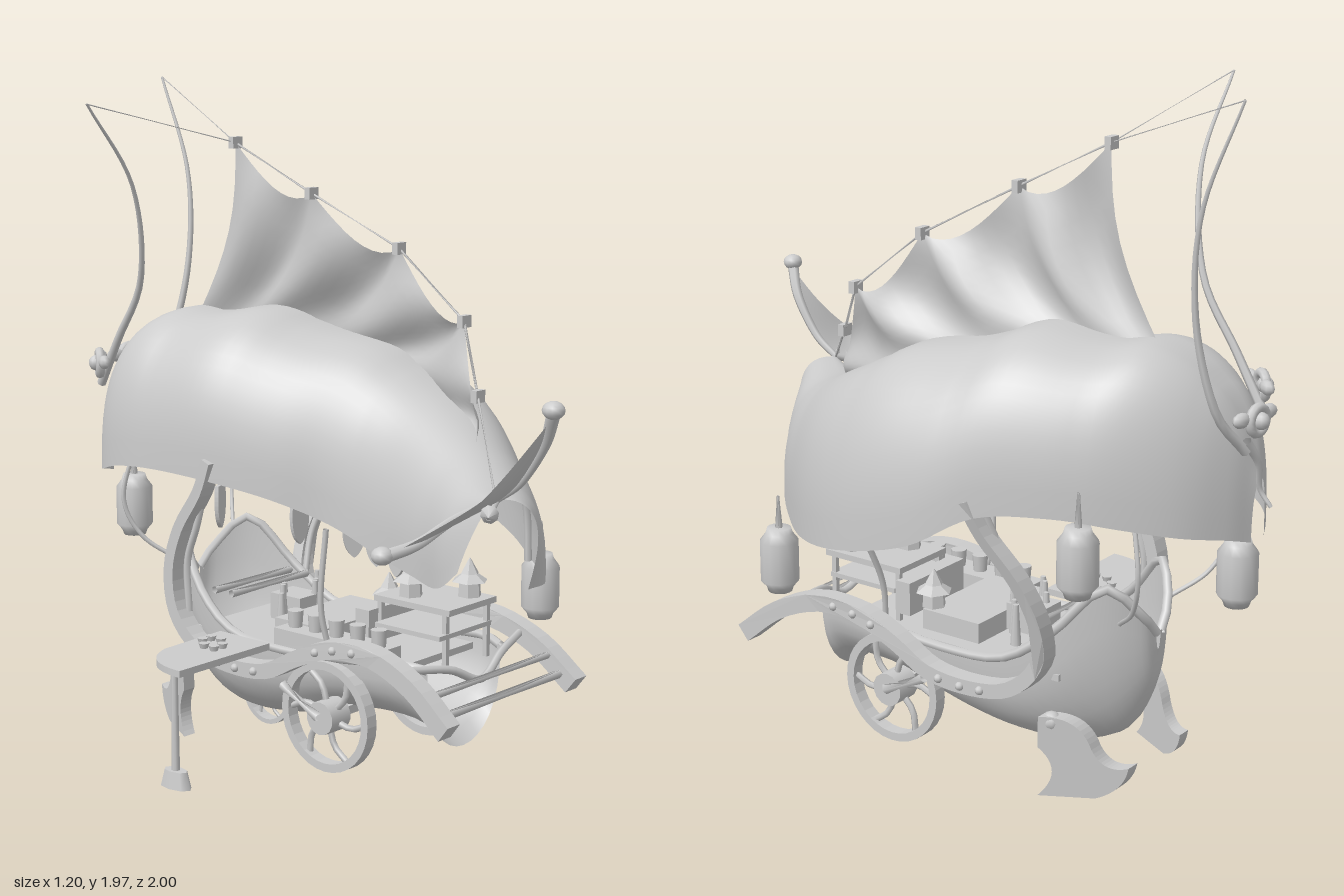
import * as THREE from 'three';

const V = (a) => new THREE.Vector3(...a);
const curve = (pts) => new THREE.CatmullRomCurve3(pts.map(V), false, 'catmullrom', 0.5);
const mat = new THREE.MeshStandardMaterial({ color: 0xcccccc, side: THREE.DoubleSide });
const flat = new THREE.MeshStandardMaterial({ color: 0xcccccc, side: THREE.DoubleSide, flatShading: true });
const CX = 0.09; // centre line of the cart

export function createModel() {
  const root = new THREE.Group();
  const add = (name, geo, pos = [0, 0, 0], m = mat, parent = root) => {
    const mesh = new THREE.Mesh(geo, m);
    mesh.name = name;
    mesh.position.set(...pos);
    parent.add(mesh);
    return mesh;
  };
  const box = (name, size, pos) => add(name, new THREE.BoxGeometry(...size), pos);
  const cyl = (name, r1, r2, h, pos, n = 12, parent = root) => add(name, new THREE.CylinderGeometry(r1, r2, h, n), pos, n < 8 ? flat : mat, parent);

  // tube that tapers from r0 to r1
  const tube = (name, pts, r0, r1 = r0, seg = 24, radial = 6) => {
    const c = curve(pts), g = new THREE.TubeGeometry(c, seg, 1, radial), p = g.attributes.position;
    for (let i = 0; i < p.count; i++) {
      const t = Math.floor(i / (radial + 1)) / seg, o = c.getPointAt(t);
      const v = new THREE.Vector3().fromBufferAttribute(p, i).sub(o).multiplyScalar(r0 + (r1 - r0) * t).add(o);
      p.setXYZ(i, v.x, v.y, v.z);
    }
    return add(name, g);
  };
  const rope = (name, a, b, r = 0.004) => tube(name, [a, b], r, r, 1, 5);

  // surface through a grid of points f(i, j)
  const sheet = (name, ni, nj, f) => {
    const pos = [], idx = [];
    for (let i = 0; i <= ni; i++) for (let j = 0; j <= nj; j++) pos.push(...f(i / ni, j / nj).toArray());
    for (let i = 0; i < ni; i++) for (let j = 0; j < nj; j++) {
      const a = i * (nj + 1) + j, b = a + nj + 1;
      idx.push(a, b, a + 1, b, b + 1, a + 1);
    }
    const g = new THREE.BufferGeometry();
    g.setAttribute('position', new THREE.Float32BufferAttribute(pos, 3));
    g.setIndex(idx);
    g.computeVertexNormals();
    return add(name, g);
  };
  // outline in (z, y) given thickness along x
  const slab = (shape, t) => new THREE.ExtrudeGeometry(shape, { depth: t, bevelEnabled: false }).translate(0, 0, -t / 2).rotateY(-Math.PI / 2);
  const outline = (pts) => new THREE.Shape(pts.map((p) => new THREE.Vector2(...p)));

  // canopy: arched sections from tail (+z) to head (-z)
  const inner = curve([[-.27, .72, .65], [-.22, .65, .54], [-.13, .64, .38], [-.07, .66, .2], [-.07, .72, .02], [-.14, .78, -.15],
    [-.21, .82, -.35], [-.225, .83, -.55], [-.22, .82, -.7], [-.18, .79, -.81], [-.11, .77, -.88], [-.03, .75, -.92]]);
  const spine = curve([[-.24, .935, .765], [-.1, .93, .62], [.07, 1.0, .45], [.21, 1.1, .22], [.24, 1.2, .03], [.22, 1.24, -.17],
    [.17, 1.3, -.34], [.13, 1.28, -.52], [.1, 1.28, -.66], [.05, 1.21, -.79], [.01, 1.09, -.87], [0, .92, -.925]]);
  const outer = curve([[-.14, .675, .79], [.12, .625, .66], [.34, .61, .45], [.5, .635, .25], [.59, .68, .04], [.59, .74, -.18],
    [.535, .84, -.36], [.455, .855, -.55], [.36, .83, -.7], [.25, .8, -.82], [.13, .775, -.89], [.04, .75, -.92]]);
  const section = (u, t, scale = 1) => { // t: 0 inner edge, 0.5 spine, 1 outer edge
    const A = inner.getPoint(u), T = spine.getPoint(u), B = outer.getPoint(u);
    const a = (t - 0.5) * Math.PI, E = t < 0.5 ? A : B, e = 0.8;
    const h = Math.pow(Math.abs(Math.sin(a)), e), v = Math.pow(Math.max(0, Math.cos(a)), e);
    const p = new THREE.Vector3(T.x + (E.x - T.x) * h, E.y + (T.y - E.y) * v, T.z + (E.z - T.z) * h);
    p.z += 0.08 * Math.max(0, 0.09 - u) / 0.09 * h * v; // tail edge bows forward
    const mid = A.add(B).multiplyScalar(0.5);
    const puff = scale * (0.988 + 0.022 * Math.abs(Math.sin(u * 6 * Math.PI)) * v);
    return p.sub(mid).multiplyScalar(puff).add(mid);
  };
  sheet('canopy', 66, 28, (u, t) => section(u, t));
  for (const k of [2, 4, 6, 8]) {
    const pts = [];
    for (let j = 0; j <= 12; j++) pts.push(section(k / 11, j / 12, 0.94).toArray());
    tube('canopyHoop', pts, 0.011);
  }
  tube('ridgeBeam', [2, 4, 6, 8, 9].map((k) => section(k / 11, 0.5, 0.92).toArray()), 0.013);

  // dorsal sail with scalloped upper edge
  const tips = [[.06, 1.13, .46], [.2, 1.31, .3], [.21, 1.5, .05], [.13, 1.65, -.22], [.09, 1.79, -.49]];
  sheet('dorsalSail', 40, 8, (s, t) => {
    const k = Math.min(3, Math.floor(s * 4)), f = s * 4 - k;
    const top = V(tips[k]).lerp(V(tips[k + 1]), f);
    top.y -= 0.06 * Math.sin(Math.PI * Math.pow(f, .8)) + (k ? 0 : .06 * (1 - f));
    const base = spine.getPoint((2 + 6 * s) / 11);
    base.y -= 0.02;
    const p = base.lerp(top, t);
    p.x += 0.03 * Math.sin(f * Math.PI * 2) * t * (1 - t) * 4;
    p.z += 0.05 * s * Math.sin(Math.PI * t);
    return p;
  });
  const tailRoot = [-.25, .93, .76], leftTip = [.28, 1.97, -.995], rightTip = [-.47, 1.92, -.53];
  [tailRoot, ...tips].forEach((p, i, a) => i && rope('sailRope', a[i - 1], p));
  tips.forEach((p) => box('sailClip', [.04, .035, .02], p));
  rope('whiskerRope', tips[4], leftTip, .002);
  rope('whiskerRope', tips[4], rightTip, .002);

  // whiskers and their rosettes on the head
  tube('whisker', [[-.15, 1.05, -.84], [-.17, 1.2, -.74], [-.195, 1.4, -.61], [-.29, 1.68, -.54], rightTip], .014, .004);
  tube('whisker', [[.1, 1.02, -.93], [.2, 1.15, -.89], [.25, 1.4, -.855], [.275, 1.68, -.88], leftTip], .014, .004);
  tube('barbel', [[.1, 1.05, -.93], [.05, .98, -.94], [.02, .9, -.93], [.01, .85, -.96]], .014, .006);
  for (const [x, y, z, r] of [[-.17, 1.12, -.81, .9], [.06, 1.1, -.93, -.1]]) {
    const g = new THREE.Group();
    g.name = 'rosette';
    g.position.set(x, y, z);
    g.rotation.y = r + Math.PI;
    add('rosetteRing', new THREE.TorusGeometry(.035, .014, 8, 16), [0, 0, .01], mat, g);
    add('rosetteCentre', new THREE.SphereGeometry(.024, 10, 8), [0, 0, .02], mat, g);
    for (const s of [-1, 1]) add('rosetteBow', new THREE.SphereGeometry(.026, 8, 6), [s * .06, .01, 0], mat, g).scale.set(1.3, .8, .7);
    root.add(g);
  }

  // tail fan: two curved arms, a rod and webbing
  const armA = [tailRoot, [-.25, .99, .84], [-.26, 1.1, .92], [-.3, 1.19, .975]];
  const armB = [tailRoot, [-.36, .89, .71], [-.48, .845, .69], [-.57, .825, .66]];
  const ca = curve(armA), cb = curve(armB);
  tube('tailArm', armA, .01, .018);
  tube('tailArm', armB, .01, .018);
  for (const p of [[-.3, 1.2, .975], [-.575, .825, .65]]) add('tailKnob', new THREE.SphereGeometry(.03, 12, 8), p).scale.y = .8;
  sheet('tailWeb', 10, 16, (s, t) => {
    const p = ca.getPoint(s * .95).lerp(cb.getPoint(s * .95), t);
    const w = Math.sin(Math.PI * t) * s, dip = .04 * s * s * Math.abs(Math.sin(2 * Math.PI * t));
    return p.add(new THREE.Vector3(dip * .6 - .01 * w, -.03 * w, .04 * w - dip * .5));
  });
  tube('tailRod', [[-.2, .92, .73], [-.49, .95, .92]], .008);
  const spike = add('tailSpike', new THREE.ConeGeometry(.024, .06, 8), [-.475, .95, .91]);
  spike.quaternion.setFromUnitVectors(new THREE.Vector3(0, 1, 0), new THREE.Vector3(-.82, .08, .55).normalize());

  // lanterns
  for (const [x, y, z] of [[.41, .52, .43], [.42, .745, -.62], [0, .645, -.86]]) {
    const prof = [[0, -.1], [.035, -.1], [.04, -.085], [.057, -.065], [.057, .055], [.04, .078], [.035, .095], [0, .095]];
    add('lantern', new THREE.LatheGeometry(prof.map((p) => new THREE.Vector2(...p)), 14), [x, y, z]);
    tube('lanternCord', [[x, y + .09, z], [x, y + .19, z]], .012, .004, 1);
  }

  // boat-shaped body: half width, bottom, z, with the rim height beside it
  const hull = curve([[.17, .1, .4], [.2, .16, .31], [.22, .16, .1], [.23, .1, -.1], [.23, .07, -.3], [.21, .08, -.45], [.15, .14, -.58], [.07, .28, -.655], [.01, .4, -.67]]);
  const rim = curve([.36, .37, .35, .34, .36, .46, .6, .52, .45].map((y) => [0, y, 0]));
  const hullAt = (u, t) => {
    const h = hull.getPoint(u), y = rim.getPoint(u).y, a = (t - .5) * Math.PI;
    return new THREE.Vector3(CX + h.x * Math.sin(a), y - (y - h.y) * Math.pow(Math.cos(a), .8), h.z);
  };
  sheet('hull', 32, 16, hullAt);
  for (const t of [0, 1]) {
    const pts = [];
    for (let i = 0; i <= 8; i++) pts.push(hullAt(i / 8, t).toArray());
    tube('hullRim', pts, .014);
  }
  box('deck', [.4, .02, .75], [CX, .33, -.1]);

  // side beams sweeping from the shafts up to the canopy posts (z, y)
  const path = curve([[.58, .25, 0], [.45, .35, 0], [.3, .405, 0], [.15, .4, 0], [.02, .35, 0], [-.1, .29, 0], [-.25, .28, 0], [-.38, .31, 0], [-.47, .4, 0], [-.49, .53, 0], [-.45, .66, 0], [-.37, .78, 0], [-.33, .88, 0]]);
  const up = [], down = [];
  for (let i = 0; i <= 48; i++) {
    const p = path.getPoint(i / 48), d = path.getTangent(i / 48), w = .028 - .012 * i / 48;
    up.push([p.x - d.y * w, p.y + d.x * w]);
    down.unshift([p.x + d.y * w, p.y - d.x * w]);
  }
  // rear feet outline (z, y): narrow ankle spreading to a webbed toe
  const foot = new THREE.Shape().moveTo(-.46, .24).quadraticCurveTo(-.56, .25, -.59, .15).quadraticCurveTo(-.62, .08, -.68, .1)
    .quadraticCurveTo(-.67, .03, -.6, .005).lineTo(-.46, .005).quadraticCurveTo(-.53, .08, -.46, .15);
  // wheel with curved spokes
  const wheel = (x, z, r, width) => {
    const w = new THREE.Group();
    w.name = 'wheel';
    w.position.set(x, r + .01, z);
    w.rotation.y = Math.PI / 2;
    const ring = new THREE.Shape().absarc(0, 0, r, 0, Math.PI * 2);
    ring.holes.push(new THREE.Path().absarc(0, 0, r * .85, 0, Math.PI * 2, true));
    add('wheelRim', new THREE.ExtrudeGeometry(ring, { depth: width, bevelEnabled: false, curveSegments: 16 }).translate(0, 0, -width / 2), [0, 0, 0], mat, w);
    cyl('hub', r * .3, r * .3, width + .04, [0, 0, 0], 14, w).rotation.x = Math.PI / 2;
    for (let k = 0; k < 6; k++) {
      const c = curve([[0, 0, 0], [r * .5, r * .14, 0], [r * .88, 0, 0]]);
      add('spoke', new THREE.TubeGeometry(c, 6, r * .06, 5), [0, 0, 0], mat, w).rotation.z = k * Math.PI / 3;
    }
    root.add(w);
  };
  wheel(CX - .01, -.35, .095, .04);
  for (const s of [-1, 1]) {
    const lean = (y) => (s > 0 ? Math.max(0, y - .42) * .32 : 0); // posts lean out to meet the canopy
    const g = slab(outline([...up, ...down]), .055), p = g.attributes.position;
    for (let i = 0; i < p.count; i++) { // shafts splay at the front
      const splay = s * Math.max(0, p.getZ(i) - .3) * .06;
      p.setX(i, p.getX(i) + CX + s * .28 + lean(p.getY(i)) + splay);
    }
    g.computeVertexNormals();
    add('sideBeam', g);
    tube('postStrand', [[.4, -.45], [.55, -.455], [.68, -.41], [.86, -.36]].map(([y, z]) => [CX + s * .26 + lean(y), y, z]), .011);
    for (const u of [.2, .24, .28, .44, .48, .52]) {
      const q = path.getPoint(u);
      add('beamStud', new THREE.SphereGeometry(.013, 8, 6), [CX + s * .308, q.y, q.x]);
    }
    // feet are thin and turned so the toes point outwards
    const fg = slab(foot, .045), fp = fg.attributes.position;
    for (let i = 0; i < fp.count; i++) fp.setX(i, fp.getX(i) + s * (.2 + (fp.getZ(i) + .56) * .55));
    fg.computeVertexNormals();
    add('rearFoot', fg, [CX, 0, 0]);
    add('footPivot', new THREE.SphereGeometry(.028, 10, 8), [CX + s * .24, .22, -.48]);

    wheel(CX + s * .225, .08, .165, .04);
    rope('axleArm', [CX + s * .27, .18, .08], [CX + s * .27, .25, -.06], .016);
    // stays from the stern to the head of the canopy
    tube('sternStay', [[CX + s * .12, .5, -.62], [CX + s * .2, .58, -.71], [CX + s * .24, .7, -.75], [CX + s * .22, .86, -.72]], .007);
    tube('frontPole', [[CX + s * .24, .36, .1], [CX + s * .27, .52, .09], [CX + s * .27 + (s > 0 ? .1 : 0), .74, .11]], .009);
  }
  for (const [z, y, r] of [[.5, .33, .011], [.54, .28, .013]]) rope('crossBar', [CX - .28, y, z], [CX + .28, y, z], r);
  tube('frontYoke', [[CX - .26, .38, .4], [CX - .12, .36, .44], [CX, .31, .46], [CX + .12, .36, .44], [CX + .26, .38, .4]], .012);
  box('axle', [.44, .025, .025], [CX, .175, .08]);

  // folding side table with a rounded outer end
  const top = new THREE.Shape().moveTo(-.18, .11).lineTo(-.55, .11).quadraticCurveTo(-.55, .26, -.42, .3).lineTo(-.18, .31);
  add('sideTable', new THREE.ExtrudeGeometry(top, { depth: .02, bevelEnabled: false }).rotateX(-Math.PI / 2), [0, .345, 0]);
  cyl('tableLeg', .009, .012, .3, [-.51, .19, -.17], 8);
  cyl('tableFoot', .022, .03, .05, [-.51, .027, -.17], 8).scale.z = 1.9;
  for (let i = 0; i < 6; i++) cyl('tableDish', .016, .011, .016, [-.34 + .035 * (i % 3), .372, -.18 - .04 * Math.floor(i / 2)], 8);

  // counter, shelf and goods
  box('counter', [.1, .05, .4], [CX - .19, .38, .08]);
  box('workbench', [.34, .06, .2], [CX, .38, -.08]);
  box('cabinet', [.26, .1, .05], [CX + .03, .42, .1]);
  box('shelf', [.22, .018, .28], [CX + .05, .5, .25]);
  box('lowerShelf', [.24, .014, .24], [CX + .03, .43, .26]);
  for (const [x, z] of [[-.05, .13], [.14, .13], [-.05, .37], [.14, .37]]) box('shelfPost', [.015, .17, .015], [CX + x, .415, z]);
  box('chest', [.1, .08, .12], [CX, .4, -.25]);
  for (const [x, y, z] of [[.13, .41, .01], [.11, .51, .33], [0, .51, .2]]) {
    cyl('miniHouse', .032, .036, .05, [CX + x, y + .025, z], 6);
    cyl('miniRoof', .012, .055, .03, [CX + x, y + .06, z], 6);
    cyl('miniRoofTop', .002, .028, .045, [CX + x, y + .09, z], 6);
  }
  for (let i = 0; i < 6; i++) cyl('bottle', .008, .016, .1 + .02 * (i % 2), [CX - .12 + .05 * i, .42, -.2 - .04 * (i % 3)], 8);
  for (let i = 0; i < 5; i++) cyl('jar', .024, .02, .05, [CX - .19, .43, -.08 + .08 * i], 10);
  for (const z of [-.36, -.43]) rope('sternShelf', [CX - .17, .45, z], [CX + .17, .45, z], .012);

  // rounded pennants hanging under the canopy
  const flag = new THREE.Shape().moveTo(-.03, .03).lineTo(.03, .03).quadraticCurveTo(.045, -.07, 0, -.1).quadraticCurveTo(-.045, -.07, -.03, .03);
  [.25, .16, .07, -.1, -.33].forEach((z, i) => {
    const x = inner.getPoint((6 - (z + .35) / .18) / 11).x + .05;
    add('pennant', slab(flag, .012), [x, .73 - .13 * z, z]).rotation.y = i * .5;
  });
  return root;
}
